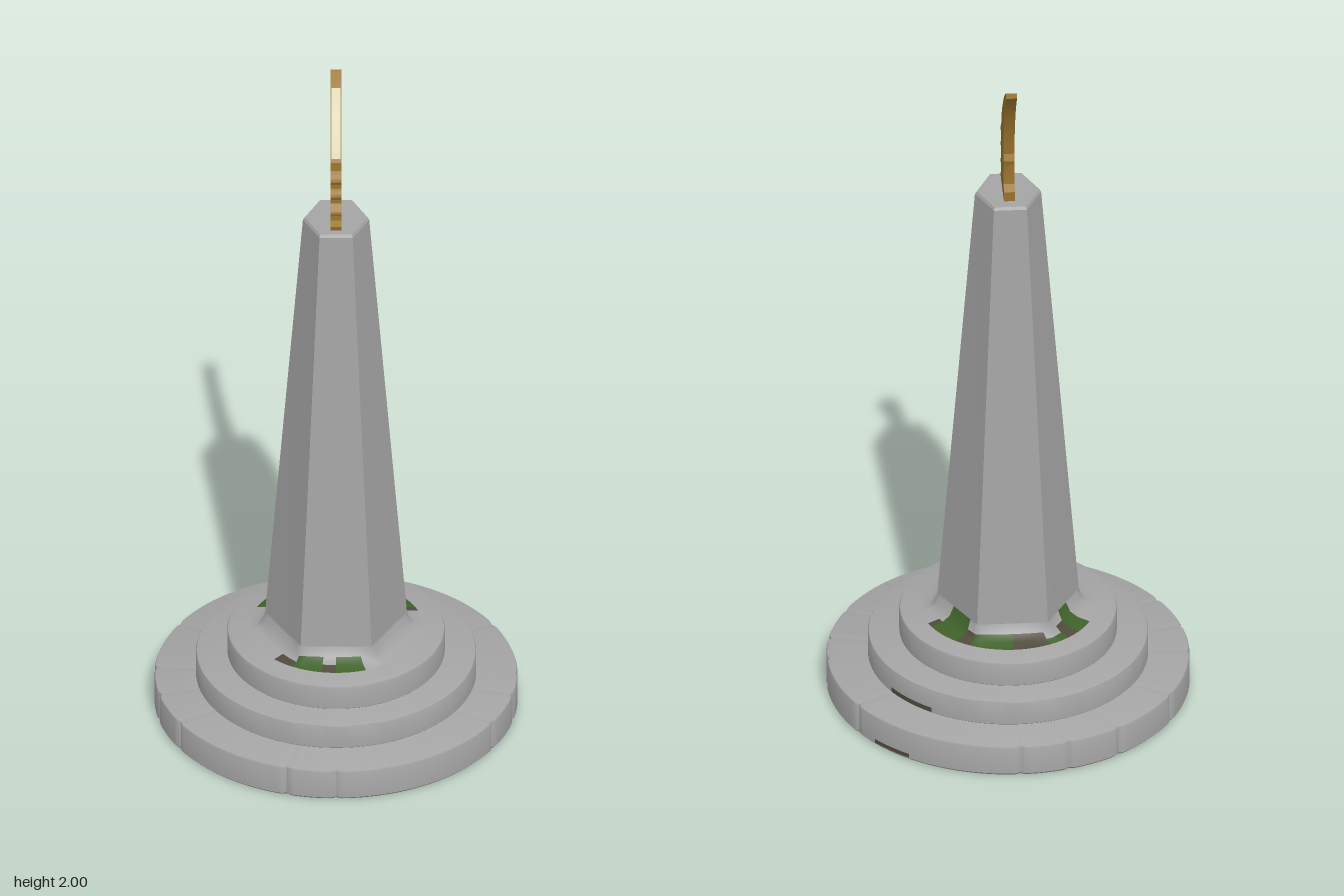
import * as THREE from 'three';
import { toCreasedNormals } from 'three/addons/utils/BufferGeometryUtils.js';

const material = (name, color) => Object.assign(new THREE.MeshStandardMaterial({ color }), { name });
const rad = THREE.MathUtils.degToRad;

export function createModel() {
  const stone = material('stone', 0xa4a4a4);
  const moss = material('moss', 0x3f6129);
  const dirt = material('dirt', 0x4f4a3c);
  const gold = material('gold', 0x9a742f);
  const ivory = material('ivory', 0xd6d0ac);

  const group = new THREE.Group();
  const add = (name, geometry, mat) => {
    const mesh = new THREE.Mesh(geometry, mat);
    mesh.name = name;
    group.add(mesh);
    return mesh;
  };

  // Round step with soft rims and small joint notches around its edge
  const step = (name, rx, rz, y0, y1, notches) => {
    const b = 0.007 / rx;
    const profile = [[1 - b, y0], [1, y0 + 0.007], [1, y1 - 0.007], [1 - b * 0.3, y1 - 0.002], [1 - b, y1], [0, y1]];
    const g = new THREE.LatheGeometry(profile.map(p => new THREE.Vector2(...p)), notches.length ? 360 : 96);
    const pos = g.attributes.position;
    for (let i = 0; i < pos.count; i++) {
      const x = pos.getX(i), z = pos.getZ(i);
      const a = Math.atan2(z, x);
      let k = 1;
      for (const n of notches) {
        const d = Math.atan2(Math.sin(a - rad(n)), Math.cos(a - rad(n)));
        k -= 0.014 * Math.exp(-((d / 0.016) ** 2));
      }
      pos.setXYZ(i, x * rx * k, pos.getY(i), z * rz * k);
    }
    add(name, toCreasedNormals(g, 0.6), stone);
  };
  step('bottomStep', 0.509, 0.522, 0, 0.095,
    [0, 12.5, 30, 90, 106, 150, 167.5, 183, 210, 236, 254, 270, 330]);
  step('middleStep', 0.393, 0.402, 0.09, 0.17, []);
  step('upperStep', 0.305, 0.315, 0.165, 0.245, []);

  // Dark underside
  const underside = add('underside', new THREE.CircleGeometry(1, 96).rotateX(Math.PI / 2), dirt);
  underside.scale.set(0.503, 1, 0.516);

  // Thin dirt stains on the step walls
  const stain = (rx, rz, y, h, from, to) => {
    const g = new THREE.CylinderGeometry(1, 1, h, 12, 1, true, rad(from), rad(to - from));
    g.scale(rx + 0.001, 1, rz + 0.001);
    g.translate(0, y, 0);
    add('stain', g, dirt);
  };
  stain(0.393, 0.402, 0.105, 0.014, 120, 143);
  stain(0.509, 0.522, 0.015, 0.012, 129, 143);

  // Closed rings of points, from bottom to top, joined into a skin
  const loft = (rings, pick) => {
    const n = rings[0].length;
    const g = new THREE.BufferGeometry();
    const index = [];
    for (let r = 0; r + 1 < rings.length; r++) {
      for (let i = 0; i < n; i++) {
        const j = (i + 1) % n;
        const l = r * n + i, ln = r * n + j, u = l + n, un = ln + n;
        if (pick) g.addGroup(index.length, 6, pick(r, (i + 0.5) * 360 / n));
        index.push(l, u, un, l, un, ln);
      }
    }
    g.setAttribute('position', new THREE.Float32BufferAttribute(rings.flat(2), 3));
    g.setIndex(index);
    g.computeVertexNormals();
    return g;
  };

  // Six-sided outline, blended towards a circle by the given amount
  const hexRing = (n, rx, rz, y, blend = 0, radius = 0) => Array.from({ length: n }, (_, i) => {
    const s = i * 6 / n, k = Math.floor(s), f = s - k;
    const corner = q => [rx * Math.cos(q * Math.PI / 3), rz * Math.sin(q * Math.PI / 3) / 0.866];
    const [a, b] = [corner(k), corner(k + 1)];
    const t = s * Math.PI / 3;
    return [
      THREE.MathUtils.lerp(a[0] + (b[0] - a[0]) * f, radius * Math.cos(t), blend), y,
      THREE.MathUtils.lerp(a[1] + (b[1] - a[1]) * f, radius * Math.sin(t), blend),
    ];
  });

  // Tapered column
  const column = loft([
    hexRing(6, 0.2, 0.184, 0.28),
    hexRing(6, 0.093, 0.097, 1.592),
    hexRing(6, 0.088, 0.092, 1.6),
    hexRing(6, 0, 0, 1.6),
  ]);
  add('column', toCreasedNormals(column, 0.4), stone);

  // Flared foot with moss and dirt patches: [from, to, highest band, material]
  const patches = [
    [72, 92, 1, 1], [92, 102, 0, 2], [102, 118, 1, 1], [118, 135, 0, 2],
    [205, 220, 2, 1], [220, 232, 1, 2], [232, 244, 0, 1], [244, 268, 1, 2],
    [268, 298, 1, 1], [298, 312, 1, 2], [312, 334, 2, 1], [334, 342, 0, 2],
  ];
  const foot = loft([
    hexRing(72, 0.2, 0.184, 0.246, 1, 0.245),
    hexRing(72, 0.2, 0.184, 0.253, 0.5, 0.245),
    hexRing(72, 0.2, 0.184, 0.267, 0.17, 0.245),
    hexRing(72, 0.199, 0.183, 0.295),
  ], (band, angle) => {
    const p = patches.find(q => angle >= q[0] && angle < q[1] && band <= q[2]);
    return p ? p[3] : 0;
  });
  add('foot', foot, [stone, moss, dirt]);

  // Curved blade with a notched grip, outlined in z and y
  const plate = (shape, width) => {
    const g = new THREE.ExtrudeGeometry(shape, { depth: width, bevelEnabled: false, curveSegments: 10 });
    g.translate(0, 0, -width / 2);
    g.rotateY(-Math.PI / 2);
    return toCreasedNormals(g, 0.5);
  };
  const blade = new THREE.Shape();
  blade.moveTo(-0.06, 1.595);
  blade.lineTo(0.07, 1.595);
  blade.lineTo(0.075, 1.615);
  for (const y of [1.625, 1.68, 1.73]) {
    blade.lineTo(0.056, y);
    blade.lineTo(0.056, y + 0.015);
    blade.quadraticCurveTo(0.088, y + 0.027, 0.066, y + 0.045);
  }
  blade.lineTo(0.052, 1.785);
  blade.lineTo(0.05, 1.81);
  blade.quadraticCurveTo(-0.03, 1.935, -0.142, 2);
  blade.lineTo(-0.146, 1.985);
  blade.quadraticCurveTo(-0.05, 1.88, -0.036, 1.74);
  blade.lineTo(-0.044, 1.72);
  blade.lineTo(-0.036, 1.7);
  blade.lineTo(-0.042, 1.645);
  blade.lineTo(-0.062, 1.63);
  add('blade', plate(blade, 0.031), gold);

  // Pale cutting edge laid along the front of the blade
  const curve = new THREE.QuadraticBezierCurve(
    new THREE.Vector2(0.05, 1.81), new THREE.Vector2(-0.03, 1.935), new THREE.Vector2(-0.142, 2));
  const inner = Array.from({ length: 13 }, (_, i) => curve.getPoint(0.04 + 0.74 * i / 12));
  const outer = inner.map(p => new THREE.Vector2(p.x + 0.002, p.y + 0.002)).reverse();
  add('cuttingEdge', plate(new THREE.Shape([...inner, ...outer]), 0.025), ivory);

  return group;
}
